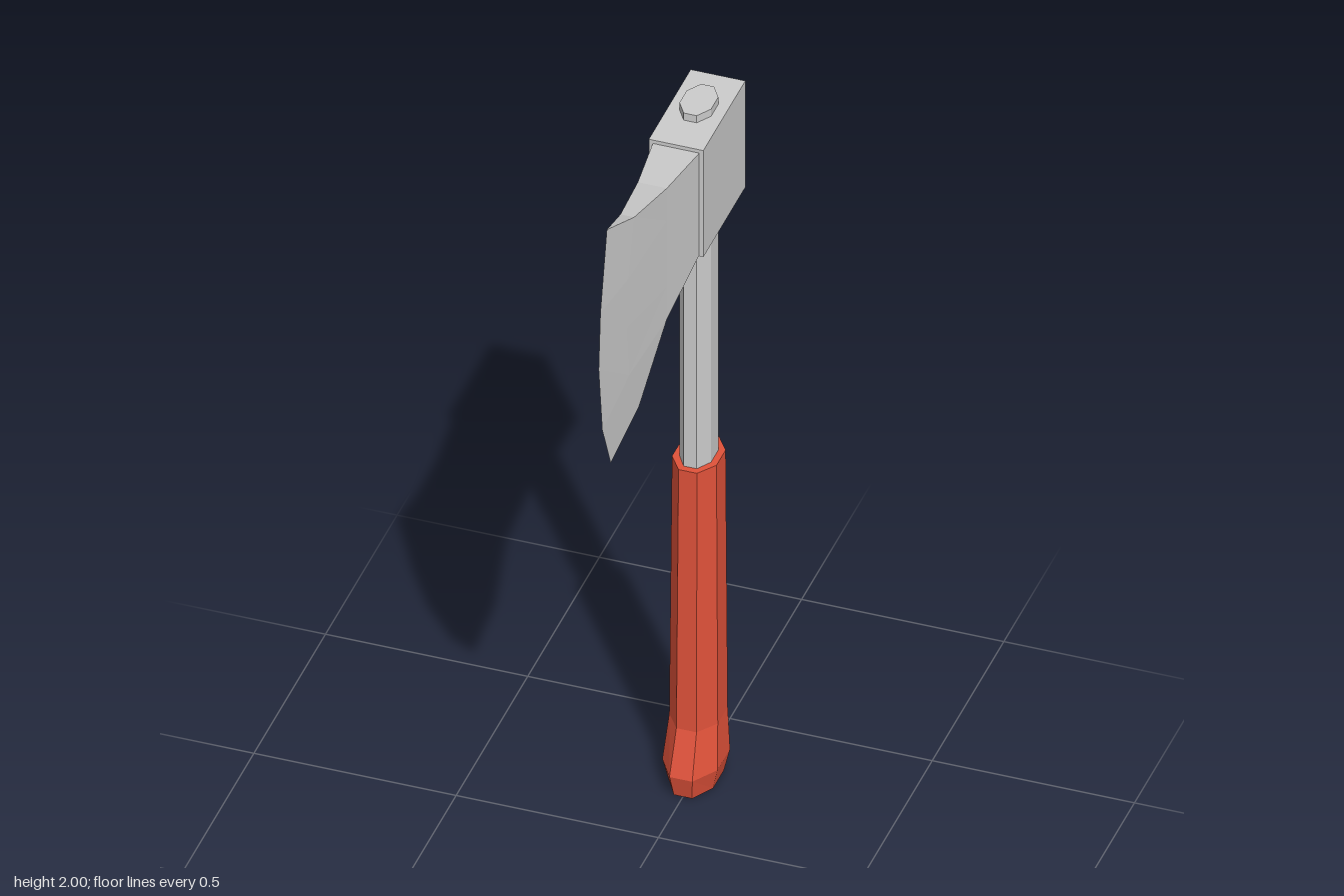
import * as THREE from 'three';

const grey = new THREE.MeshStandardMaterial({ color: 0xcccccc, flatShading: true });
const red = new THREE.MeshStandardMaterial({ color: 0xe0523a, flatShading: true });

// Collects flat quads, leaving out triangles without area
class Faces {
  positions = [];
  tri(a, b, c) {
    const t = new THREE.Triangle(a, b, c);
    if (t.getArea() > 1e-8) for (const p of [a, b, c]) this.positions.push(p.x, p.y, p.z);
  }
  quad(a, b, c, d) {
    this.tri(a, b, c);
    this.tri(a, c, d);
  }
  mesh(name, material) {
    const g = new THREE.BufferGeometry();
    g.setAttribute('position', new THREE.Float32BufferAttribute(this.positions, 3));
    g.computeVertexNormals();
    const m = new THREE.Mesh(g, material);
    m.name = name;
    return m;
  }
}

// Octagonal loft along y; each section is [y, half width x, back z, front z]
function octagonLoft(name, sections, material) {
  const f = new Faces();
  const rings = sections.map(([y, hx, z0, z1]) =>
    Array.from({ length: 8 }, (_, i) => {
      const a = (i + 0.5) * Math.PI / 4, k = 1 / Math.cos(Math.PI / 8);
      return new THREE.Vector3(
        Math.cos(a) * k * hx, y, (z0 + z1) / 2 + Math.sin(a) * k * (z1 - z0) / 2);
    }));
  const last = rings.length - 1;
  for (let i = 0; i < 8; i++) {
    const j = (i + 1) % 8;
    for (let r = 0; r < last; r++) f.quad(rings[r][i], rings[r + 1][i], rings[r + 1][j], rings[r][j]);
    if (i > 0 && i < 7) {
      f.tri(rings[0][0], rings[0][i], rings[0][j]);
      f.tri(rings[last][0], rings[last][j], rings[last][i]);
    }
  }
  return f.mesh(name, material);
}

// Blade skin between columns of [z, y, half thickness], each listed bottom to top
function bladeSkin(name, columns, material) {
  const f = new Faces();
  const P = (c, r, s) => {
    const [z, y, t] = columns[c][r];
    return new THREE.Vector3(s * t, y, z);
  };
  const top = columns[0].length - 1;
  for (let c = 0; c < columns.length - 1; c++) {
    for (let r = 0; r < top; r++) {
      f.quad(P(c, r, 1), P(c, r + 1, 1), P(c + 1, r + 1, 1), P(c + 1, r, 1));
      f.quad(P(c, r, -1), P(c + 1, r, -1), P(c + 1, r + 1, -1), P(c, r + 1, -1));
    }
    f.quad(P(c, top, -1), P(c + 1, top, -1), P(c + 1, top, 1), P(c, top, 1));
    f.quad(P(c, 0, 1), P(c + 1, 0, 1), P(c + 1, 0, -1), P(c, 0, -1));
  }
  return f.mesh(name, material);
}

// Straight column with evenly spaced rows
const straight = (z, y0, y1, t) =>
  Array.from({ length: 5 }, (_, i) => [z, y0 + (y1 - y0) * i / 4, t]);

export function createModel() {
  const axe = new THREE.Group();
  axe.name = 'axe';

  // Handle: grip flaring to a knob, and the shaft through the head
  axe.add(octagonLoft('grip', [
    [0, 0.055, -0.357, -0.172],
    [0.06, 0.068, -0.371, -0.157],
    [0.175, 0.06, -0.364, -0.196],
    [0.915, 0.055, -0.36, -0.205],
  ], red));
  axe.add(octagonLoft('shaft', [
    [0.88, 0.039, -0.344, -0.222],
    [1.933, 0.039, -0.344, -0.222],
  ], grey));

  // Head block around the shaft
  const block = new THREE.Mesh(new THREE.BoxGeometry(0.135, 0.307, 0.293), grey);
  block.name = 'headBlock';
  block.position.set(0, 1.759, -0.27);
  axe.add(block);

  // Blade cheeks, then the bevel narrowing to the sharp edge
  const bevel = [
    [0.185, 1.376, 0.018], [0.249, 1.508, 0.016], [0.265, 1.655, 0.015],
    [0.254, 1.79, 0.016], [0.217, 1.942, 0.017],
  ];
  const edge = [
    [0.333, 1.308, 0], [0.392, 1.445, 0], [0.417, 1.635, 0],
    [0.405, 1.79, 0], [0.36, 2, 0],
  ];
  axe.add(bladeSkin('blade', [
    straight(-0.14, 1.607, 1.902, 0.058),
    straight(-0.12, 1.607, 1.903, 0.057),
    straight(0.042, 1.533, 1.91, 0.036),
    bevel,
  ], grey));
  axe.add(bladeSkin('cuttingEdge', [bevel, edge], grey));

  return axe;
}
